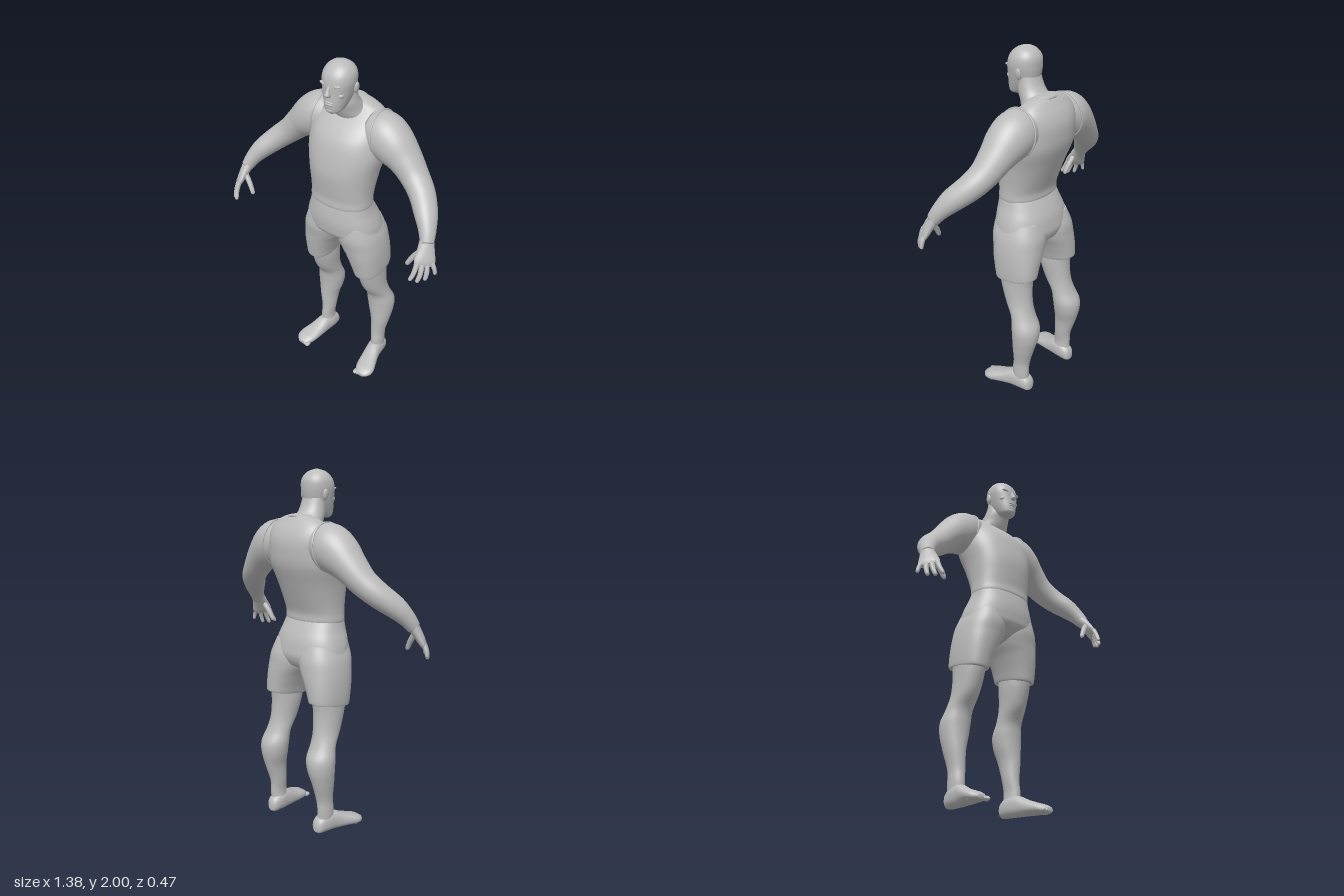
import * as THREE from 'three';

const grey = new THREE.MeshStandardMaterial({ color: 0xbcbcbc });
grey.name = 'plain grey';
const X = new THREE.Vector3(1, 0, 0), Y = new THREE.Vector3(0, 1, 0), Z = new THREE.Vector3(0, 0, 1);

// Smooth value through four neighbouring section values
const smooth = (a, b, c, d, t) =>
  b + 0.5 * t * (c - a + t * (2 * a - 5 * b + 4 * c - d + t * (3 * (b - c) + d - a)));

// Loft through sections [x, y, z, ru, rv]; rv lies along ref, axis fixes the ring normal
function loft(sections, ref, { axis = null, n = 36, steps = 5, power = 1, rule = null } = {}) {
  const rings = [], last = sections.length - 1;
  for (let i = 0; i < last; i++) {
    for (let k = 0; k < steps + (i === last - 1 ? 1 : 0); k++) {
      const s = [i - 1, i, i + 1, i + 2].map(j => sections[Math.min(last, Math.max(0, j))]);
      rings.push(s[0].map((_, c) => smooth(s[0][c], s[1][c], s[2][c], s[3][c], k / steps)));
    }
  }
  const pos = [], index = [], count = rings.length;
  const centre = rings.map(r => new THREE.Vector3(r[0], r[1], r[2]));
  rings.forEach((r, j) => {
    const T = axis ? axis.clone()
      : centre[Math.min(count - 1, j + 1)].clone().sub(centre[Math.max(0, j - 1)]).normalize();
    const V = ref.clone().addScaledVector(T, -ref.dot(T)).normalize();
    const U = V.clone().cross(T);
    for (let i = 0; i < n; i++) {
      const a = i / n * Math.PI * 2, c = Math.cos(a), s = Math.sin(a);
      const p = centre[j].clone()
        .addScaledVector(U, Math.sign(c) * Math.abs(c) ** power * r[3])
        .addScaledVector(V, Math.sign(s) * Math.abs(s) ** power * r[4]);
      if (rule) rule(p);
      pos.push(p.x, p.y, p.z);
      if (j < count - 1) {
        const A = j * n + i, B = j * n + (i + 1) % n;
        index.push(A, B, B + n, A, B + n, A + n);
      }
    }
  });
  // End caps
  for (const [j, flip] of [[0, true], [count - 1, false]]) {
    const p = centre[j].clone(), m = pos.length / 3;
    if (rule) rule(p);
    pos.push(p.x, p.y, p.z);
    for (let i = 0; i < n; i++) {
      const A = j * n + i, B = j * n + (i + 1) % n;
      flip ? index.push(m, B, A) : index.push(m, A, B);
    }
  }
  const g = new THREE.BufferGeometry();
  g.setAttribute('position', new THREE.Float32BufferAttribute(pos, 3));
  g.setIndex(index);
  g.computeVertexNormals();
  return g;
}

// Upright loft from rows [y, centreX, halfWidth, zFront, zBack]
const upright = (rows, opts = {}) =>
  loft(rows.map(([y, x, r, f, b]) => [x, y, (f + b) / 2, r, (f - b) / 2]), Z, { axis: Y, ...opts });

function mirrored(geometry) {
  const g = geometry.clone().scale(-1, 1, 1), ix = g.index.array;
  for (let i = 0; i < ix.length; i += 3) [ix[i], ix[i + 1]] = [ix[i + 1], ix[i]];
  g.computeVertexNormals();
  return g;
}

function blob(x, y, z, rx, ry, rz, turn = 0) {
  return new THREE.SphereGeometry(1, 20, 14).scale(rx, ry, rz).rotateZ(turn).translate(x, y, z);
}

function ringTube(points, radius) {
  const curve = new THREE.CatmullRomCurve3(points, true);
  return new THREE.TubeGeometry(curve, 64, radius, 6, true);
}

export function createModel() {
  const model = new THREE.Group();
  const add = (name, g) => {
    const m = new THREE.Mesh(g, grey);
    m.name = name;
    model.add(m);
  };
  const pair = (name, g) => { add(name + 'Left', g); add(name + 'Right', mirrored(g)); };

  // Vest
  add('vest', upright([
    [1.185, 0, .176, .118, -.112], [1.2, 0, .183, .126, -.122], [1.24, 0, .182, .124, -.124],
    [1.3, 0, .185, .131, -.146], [1.4, 0, .198, .138, -.186], [1.5, 0, .218, .122, -.225],
    [1.58, 0, .215, .096, -.235], [1.64, 0, .208, .052, -.231], [1.69, 0, .192, .0, -.212],
    [1.73, 0, .155, -.04, -.185], [1.755, 0, .105, -.06, -.165], [1.77, 0, .05, -.09, -.14],
  ], { n: 56, power: .88 }));
  const circle = f => Array.from({ length: 24 }, (_, i) => f(Math.cos(i * Math.PI / 12), Math.sin(i * Math.PI / 12)));
  add('collar', ringTube(circle((c, s) => new THREE.Vector3(.105 * c, 1.71 - .05 * s, -.07 + .09 * s)), .007));
  pair('armholeTrim', ringTube(circle((c, s) =>
    new THREE.Vector3(.19 - .012 * c, 1.608 + .126 * c, -.092 + .119 * s)), .005));

  // Shorts
  add('shortsPelvis', upright([
    [.925, 0, .1, .0, -.12], [.95, 0, .17, .06, -.16], [1.0, 0, .222, .118, -.182],
    [1.05, 0, .222, .131, -.178], [1.1, 0, .209, .134, -.167], [1.15, 0, .191, .13, -.145],
    [1.2, 0, .179, .122, -.118],
  ], { n: 48, power: .85 }));
  const slantHem = p => { p.y -= (p.z + .06) * .16 * Math.max(0, (.88 - p.y) / .14); };
  pair('shortsLeg', upright([
    [.745, .17, .076, .06, -.182], [.75, .17, .082, .068, -.19], [.8, .163, .092, .08, -.192],
    [.87, .147, .107, .096, -.192], [.93, .127, .122, .106, -.19], [1.0, .11, .126, .118, -.184],
    [1.08, .105, .1, .11, -.155],
  ], { power: .85, rule: slantHem }));

  // Legs and feet
  pair('leg', upright([
    [.06, .193, .04, -.06, -.165], [.13, .197, .038, -.058, -.165], [.2, .193, .043, -.065, -.17],
    [.3, .197, .058, -.066, -.2], [.38, .192, .076, -.066, -.222], [.45, .188, .083, -.062, -.222],
    [.52, .182, .074, -.05, -.187], [.6, .175, .07, 0, -.166], [.7, .17, .076, .035, -.16],
    [.78, .17, .078, .05, -.168],
  ]));
  pair('foot', loft([
    [.19, .035, -.186, .014, .018], [.19, .046, -.17, .036, .042], [.193, .058, -.12, .045, .056],
    [.2, .056, -.06, .046, .056], [.213, .042, 0, .053, .042], [.228, .031, .06, .06, .031],
    [.233, .024, .1, .052, .024], [.232, .018, .13, .026, .011],
  ], Y, { axis: Z, power: .85, rule: p => { p.y = Math.max(0, p.y); } }));
  for (let i = 0; i < 5; i++) {
    pair('toe' + (i + 1), blob(.193 + i * .019, .015, .118 - i * i * .003, i ? .011 : .015, .013, .022));
  }

  // Arms
  pair('arm', loft([
    [.13, 1.62, -.095, .108, .1], [.2, 1.608, -.09, .124, .117], [.27, 1.568, -.085, .114, .112],
    [.34, 1.513, -.08, .088, .095], [.41, 1.445, -.065, .073, .08], [.48, 1.385, -.03, .066, .072],
    [.545, 1.322, .03, .057, .063], [.585, 1.265, .075, .044, .048], [.607, 1.215, .108, .034, .038],
  ], Z));

  // Hands with fingers
  const across = new THREE.Vector3(-.6, 0, .8);
  pair('palm', loft([
    [.6, 1.235, .098, .034, .036], [.615, 1.185, .127, .027, .047], [.627, 1.14, .152, .021, .057],
    [.632, 1.115, .163, .012, .048],
  ], across));
  const finger = (name, root, tip, r, bend) => {
    const [a, b] = [root, tip];
    const at = (t, k) => [0, 1, 2].map(i => a[i] + (b[i] - a[i]) * t + (i === 0 ? bend * Math.sin(t * Math.PI) : 0))
      .concat(r * k, r * k);
    pair(name, loft([at(0, 1), at(.3, 1), at(.6, .92), at(.88, .8), at(.97, .5), at(1, .12)], across, { n: 14, steps: 3 }));
  };
  finger('indexFinger', [.604, 1.14, .19], [.592, 1.05, .234], .0135, .007);
  finger('middleFinger', [.622, 1.13, .172], [.622, 1.038, .212], .014, .008);
  finger('ringFinger', [.638, 1.13, .15], [.648, 1.042, .178], .0135, .008);
  finger('littleFinger', [.652, 1.135, .13], [.68, 1.065, .13], .012, .006);
  finger('thumb', [.597, 1.185, .14], [.527, 1.075, .16], .0155, -.006);

  // Neck and head
  add('neck', upright([
    [1.62, 0, .13, -.03, -.18], [1.69, 0, .105, .012, -.186], [1.73, 0, .088, .03, -.155],
    [1.77, 0, .078, .045, -.105], [1.81, 0, .072, .045, -.078], [1.86, 0, .066, .04, -.06],
  ]));
  add('head', upright([
    [1.742, 0, .018, .1, .05], [1.755, 0, .043, .112, .02], [1.785, 0, .057, .118, -.025],
    [1.82, 0, .069, .117, -.055], [1.86, 0, .079, .115, -.066], [1.9, 0, .086, .114, -.07],
    [1.94, 0, .083, .104, -.068], [1.97, 0, .067, .082, -.052], [1.99, 0, .042, .054, -.025],
    [2.0, 0, .008, .022, .006],
  ], { n: 44, power: .93 }));

  // Face
  add('nose', loft([
    [0, 1.895, .106, .008, .01], [0, 1.87, .117, .01, .013], [0, 1.85, .122, .015, .018],
    [0, 1.838, .116, .012, .012],
  ], Z, { axis: Y.clone().negate(), n: 16 }));
  add('upperLip', blob(0, 1.809, .113, .027, .006, .01));
  add('lowerLip', blob(0, 1.797, .112, .023, .007, .01));
  add('chin', blob(0, 1.765, .1, .028, .018, .018));
  pair('brow', blob(.034, 1.896, .098, .03, .008, .014, .15));
  pair('eye', blob(.033, 1.877, .097, .014, .006, .009));
  pair('cheek', blob(.045, 1.845, .078, .022, .018, .02));
  pair('ear', blob(.084, 1.868, -.004, .01, .03, .018, -.12));

  return model;
}
